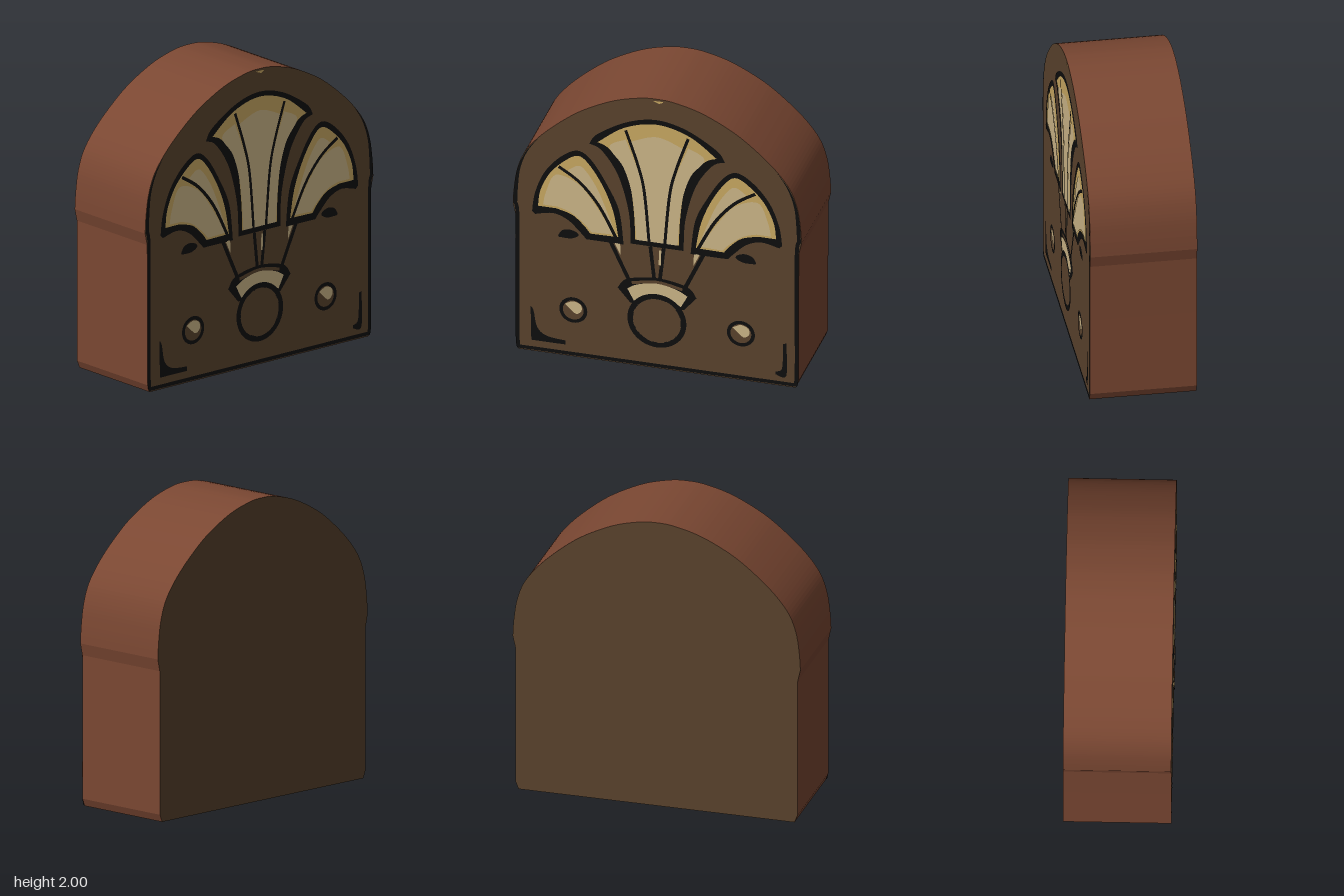
import * as THREE from 'three';

const DEPTH = 0.7;

function material(name, color, doubleSide) {
  const m = new THREE.MeshStandardMaterial({ color });
  m.name = name;
  if (doubleSide) m.side = THREE.DoubleSide;
  return m;
}

const mirror = (pts) => pts.map(([x, y]) => [-x, y]);
const mirrorBack = (pts) => mirror(pts).reverse();
const vec = ([x, y]) => new THREE.Vector2(x, y);

// Smooth curve through a few points
function smooth(pts) {
  if (pts.length < 3) return pts.map(vec);
  return new THREE.SplineCurve(pts.map(vec)).getPoints((pts.length - 1) * 6);
}

// Closed outline made of smooth arcs that meet at corners
const outline = (...arcs) => new THREE.Shape(arcs.flatMap(smooth));

// Constant-width ribbon along a curve
function ribbon(pts, width) {
  const p = smooth(pts);
  const offset = (side) => p.map((q, i) => {
    const t = p[Math.min(i + 1, p.length - 1)].clone().sub(p[Math.max(i - 1, 0)]).normalize();
    return new THREE.Vector2(q.x - t.y * side * width / 2, q.y + t.x * side * width / 2);
  });
  return new THREE.Shape([...offset(1), ...offset(-1).reverse()]);
}

function disc(x, y, r, hole) {
  const s = new THREE.Shape().absarc(x, y, r, 0, Math.PI * 2);
  if (hole) s.holes.push(new THREE.Path().absarc(x, y, hole, 0, Math.PI * 2, true));
  return s;
}

export function createModel() {
  const radio = new THREE.Group();
  radio.name = 'tableRadio';
  const face = material('faceBrown', 0x5a432d);
  const wood = material('woodBrown', 0x7a4732);
  const black = material('black', 0x0e0e0e, true);
  const gold = material('gold', 0xc8a862, true);
  const cream = material('cream', 0xccb688, true);

  // Flat painted detail; layer sets how far it sits in front of the face
  function plate(name, shape, mat, layer) {
    const mesh = new THREE.Mesh(new THREE.ShapeGeometry(shape, 24), mat);
    mesh.name = name;
    mesh.position.z = DEPTH / 2 + layer * 0.0015;
    radio.add(mesh);
  }
  const pair = (name, make, mat, layer) => {
    plate(name + 'Right', make((p) => p), mat, layer);
    plate(name + 'Left', make(mirror), mat, layer);
  };

  // Arched cabinet
  const side = [[0.93, 0], [0.95, 0.05], [0.95, 0.6], [0.952, 1.0], [0.97, 1.08]];
  const arch = [[0.97, 1.08], [0.962, 1.2], [0.94, 1.34], [0.89, 1.47], [0.79, 1.6], [0.65, 1.73],
    [0.5, 1.84], [0.3, 1.94], [0.12, 1.99], [0, 2]];
  const fullArch = [...arch, ...mirrorBack(arch).slice(1)];
  const body = new THREE.Mesh(
    new THREE.ExtrudeGeometry(
      new THREE.Shape([...side.map(vec), ...smooth(fullArch).slice(1), ...mirrorBack(side).slice(1).map(vec)]),
      { depth: DEPTH, bevelEnabled: false }),
    [face, wood]);
  body.geometry.translate(0, 0, -DEPTH / 2);
  body.name = 'cabinet';
  radio.add(body);

  // Black edge lines of the front
  pair('sideEdge', (m) => ribbon(m([[-0.925, 0.01], [-0.937, 0.1], [-0.937, 0.6], [-0.938, 1.0], [-0.953, 1.09]]), 0.026), black, 1);
  pair('archEdge', (m) => outline(
    m([[-0.966, 1.08], [-0.96, 1.2], [-0.938, 1.34], [-0.885, 1.47], [-0.8, 1.585]]),
    m([[-0.8, 1.585], [-0.875, 1.47], [-0.92, 1.34], [-0.935, 1.2], [-0.94, 1.08]])), black, 1);
  plate('bottomEdge', ribbon([[-0.93, 0.02], [0.93, 0.02]], 0.025), black, 1);
  plate('topMark', outline([[-0.03, 1.985], [0.04, 1.985], [0.015, 1.968]]), gold, 1);

  // Centre grille fan
  const edge = [[0.455, 1.6], [0.37, 1.56], [0.26, 1.39], [0.19, 1.13], [0.178, 0.9]];
  plate('centreFanFrame', outline(
    [[-0.455, 1.6], [-0.4, 1.68], [-0.2, 1.8], [0, 1.845], [0.2, 1.8], [0.4, 1.68], [0.455, 1.6]],
    edge, mirrorBack(edge)), black, 1);
  const inner = [[0.4, 1.62], [0.33, 1.59], [0.24, 1.49], [0.185, 1.36], [0.155, 1.13], [0.147, 0.935]];
  plate('centreFanGold', outline(
    [[-0.4, 1.62], [-0.22, 1.755], [0, 1.812], [0.22, 1.755], [0.4, 1.62]],
    inner, mirrorBack(inner)), gold, 2);
  const panel = [[0.175, 1.66], [0.12, 1.5], [0.08, 1.3], [0.05, 0.935]];
  plate('centreFanPanel', outline([[-0.175, 1.66], [0, 1.72], [0.175, 1.66]], panel, mirrorBack(panel)), cream, 3);
  pair('centreFanSidePanel', (m) => outline(
    m([[-0.21, 1.67], [-0.32, 1.6], [-0.225, 1.46], [-0.165, 1.25], [-0.138, 0.935]]),
    m([[-0.06, 0.935], [-0.1, 1.35], [-0.21, 1.67]])), cream, 3);
  pair('centreFanRib', (m) => ribbon(m([[-0.21, 1.74], [-0.13, 1.5], [-0.085, 1.3], [-0.052, 0.92]]), 0.02), black, 4);

  // Side grille fans
  pair('sideFanFrame', (m) => outline(
    m([[-0.84, 1.04], [-0.82, 1.18], [-0.757, 1.34], [-0.65, 1.47], [-0.535, 1.535], [-0.44, 1.476],
      [-0.335, 1.31], [-0.255, 1.13], [-0.225, 0.885]]),
    m([[-0.475, 0.885], [-0.52, 0.935], [-0.6, 1.01], [-0.7, 1.045], [-0.82, 1.02]])), black, 1);
  pair('sideFanGold', (m) => outline(
    m([[-0.8, 1.085], [-0.783, 1.206], [-0.72, 1.34], [-0.624, 1.444], [-0.535, 1.497], [-0.465, 1.455],
      [-0.37, 1.31], [-0.296, 1.127], [-0.26, 0.935]]),
    m([[-0.45, 0.932], [-0.49, 0.984], [-0.57, 1.053], [-0.68, 1.085]])), gold, 2);
  pair('sideFanUpperPanel', (m) => outline(
    m([[-0.6, 1.38], [-0.53, 1.425], [-0.475, 1.39], [-0.39, 1.25], [-0.29, 0.99]]),
    m([[-0.29, 0.99], [-0.36, 1.11], [-0.48, 1.28], [-0.6, 1.38]])), cream, 3);
  pair('sideFanLowerPanel', (m) => outline(
    m([[-0.765, 1.1], [-0.745, 1.2], [-0.68, 1.335], [-0.53, 1.29], [-0.42, 1.16], [-0.29, 0.95]]),
    m([[-0.44, 0.945], [-0.49, 1.0], [-0.58, 1.07], [-0.67, 1.1]])), cream, 3);
  pair('sideFanRib', (m) => ribbon(m([[-0.66, 1.4], [-0.52, 1.305], [-0.39, 1.15], [-0.275, 0.93]]), 0.022), black, 4);

  // Struts running down to the dial
  pair('outerStrut', (m) => ribbon(m([[-0.315, 0.9], [-0.185, 0.62]]), 0.027), black, 2);
  pair('strutGlint', (m) => outline(m([[-0.285, 0.885], [-0.25, 0.885], [-0.245, 0.8]])), cream, 1);
  pair('innerStrut', (m) => ribbon(m([[-0.045, 0.9], [-0.018, 0.65]]), 0.025), black, 2);
  plate('centreGlint', ribbon([[0.022, 0.88], [0.018, 0.77]], 0.015), cream, 3);

  // Dial window and tuning knob
  plate('dialFrame', outline(
    [[-0.265, 0.56], [-0.2, 0.635], [0, 0.67], [0.2, 0.635], [0.265, 0.56]],
    [[0.265, 0.56], [0.18, 0.46]], [[-0.18, 0.46], [-0.265, 0.56]]), black, 1);
  plate('dialTopBand', ribbon([[-0.17, 0.61], [0, 0.64], [0.17, 0.61]], 0.022), face, 2);
  plate('dialWindow', outline(
    [[-0.2, 0.565], [-0.13, 0.605], [0, 0.63], [0.13, 0.605], [0.205, 0.565]],
    [[0.16, 0.48], [0.1, 0.515], [0, 0.53], [-0.1, 0.515], [-0.155, 0.48]]), cream, 3);
  plate('tuningKnobRing', disc(0, 0.355, 0.198, 0.16), black, 4);
  plate('tuningKnob', disc(0, 0.355, 0.163), face, 4);

  // Small knobs
  for (const [x, name] of [[-0.563, 'Right'], [0.563, 'Left']]) {
    plate('smallKnobRing' + name, disc(x, 0.345, 0.094, 0.07), black, 1);
    plate('smallKnobGlint' + name, outline(
      [[x - 0.055, 0.385], [x, 0.41], [x + 0.05, 0.39], [x + 0.055, 0.345], [x + 0.02, 0.32], [x - 0.02, 0.35]]), cream, 2);
  }

  // Black accents under the fans and in the lower corners
  pair('fanAccent', (m) => outline(
    m([[-0.665, 0.885], [-0.64, 0.925], [-0.59, 0.94], [-0.54, 0.925], [-0.53, 0.9], [-0.58, 0.875], [-0.66, 0.875]])), black, 1);
  plate('cornerAccentRight', outline([[-0.85, 0.33], [-0.83, 0.3], [-0.805, 0.18], [-0.74, 0.125], [-0.615, 0.11]],
    [[-0.615, 0.08], [-0.845, 0.08]]), black, 1);
  plate('cornerAccentLeft', outline([[0.868, 0.32], [0.868, 0.08], [0.795, 0.08]],
    [[0.795, 0.1], [0.835, 0.12], [0.845, 0.2], [0.845, 0.31]]), black, 1);

  return radio;
}
